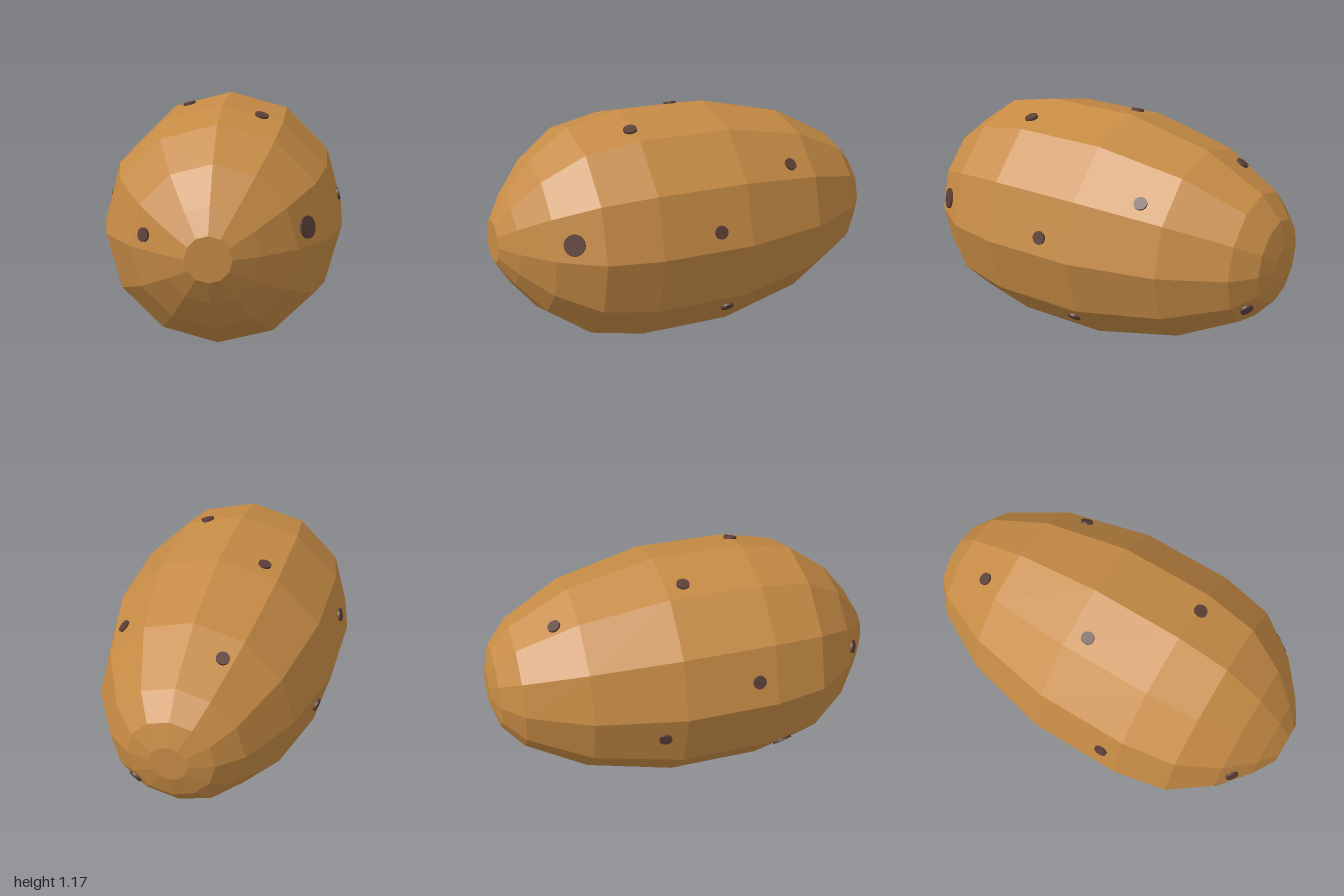
import * as THREE from 'three';

const CENTRE_Y = 0.585;
const SIDES = 12;

// Body outline from back to front: [radius, z]
const PROFILE = [
  [0, -1], [0.092, -1], [0.21, -0.965], [0.325, -0.865], [0.485, -0.565], [0.585, -0.13],
  [0.585, 0.335], [0.53, 0.6], [0.385, 0.8], [0.225, 0.93], [0.107, 1], [0, 1],
];

// Spots: [x, height, z, radius]
const SPOTS = [
  [0.42, 0.67, 0.72, 0.052], [0.57, 0.675, 0.035, 0.033], [0.39, 0.9, -0.43, 0.032],
  [0.2, 0.39, -0.905, 0.033], [0.43, 0.21, -0.07, 0.033], [0.17, 0.06, 0.4, 0.032],
  [0.19, 1.12, 0.345, 0.033], [-0.21, 1.12, -0.04, 0.032], [-0.17, 0.98, -0.67, 0.032],
  [-0.56, 0.715, 0.24, 0.033], [-0.3, 0.65, 0.85, 0.033], [-0.385, 0.205, 0.45, 0.052],
  [-0.11, 0.1, -0.45, 0.05], [-0.525, 0.465, -0.23, 0.032],
];

// Position and outward normal on the flat facet nearest to a given point
function onFacet(x, y, z) {
  const i = PROFILE.findIndex((p, k) => k > 1 && z <= p[1]);
  const [r0, z0] = PROFILE[i - 1];
  const [r1, z1] = PROFILE[i];
  const radius = r0 + ((r1 - r0) * (z - z0)) / (z1 - z0);
  const step = (Math.PI * 2) / SIDES;
  const angle = Math.atan2(y - CENTRE_Y, x);
  const mid = (Math.floor(angle / step) + 0.5) * step;
  const apothem = Math.cos(step / 2);
  const r = (radius * apothem) / Math.cos(angle - mid);
  const position = new THREE.Vector3(r * Math.cos(angle), r * Math.sin(angle) + CENTRE_Y, z);
  const dz = z1 - z0;
  const normal = new THREE.Vector3(Math.cos(mid) * dz, Math.sin(mid) * dz, (r0 - r1) * apothem).normalize();
  return { position, normal };
}

export function createModel() {
  const model = new THREE.Group();
  model.name = 'potato';

  // Faceted body turned about the z axis
  const bodyGeometry = new THREE.LatheGeometry(PROFILE.map(([r, z]) => new THREE.Vector2(r, z)), SIDES);
  bodyGeometry.rotateX(Math.PI / 2);
  const body = new THREE.Mesh(bodyGeometry, new THREE.MeshStandardMaterial({ color: 0xc68b45, flatShading: true }));
  body.name = 'body';
  body.position.y = CENTRE_Y;
  model.add(body);

  // Small dark discs lying flat on the facets
  const spots = new THREE.Group();
  spots.name = 'spots';
  const spotMaterial = new THREE.MeshStandardMaterial({ color: 0x5d4037 });
  const up = new THREE.Vector3(0, 1, 0);
  SPOTS.forEach(([x, y, z, radius], i) => {
    const { position, normal } = onFacet(x, y, z);
    const spot = new THREE.Mesh(new THREE.CylinderGeometry(radius, radius, 0.022, 20), spotMaterial);
    spot.name = `spot${i + 1}`;
    spot.position.copy(position);
    spot.quaternion.setFromUnitVectors(up, normal);
    spots.add(spot);
  });
  model.add(spots);
  return model;
}
